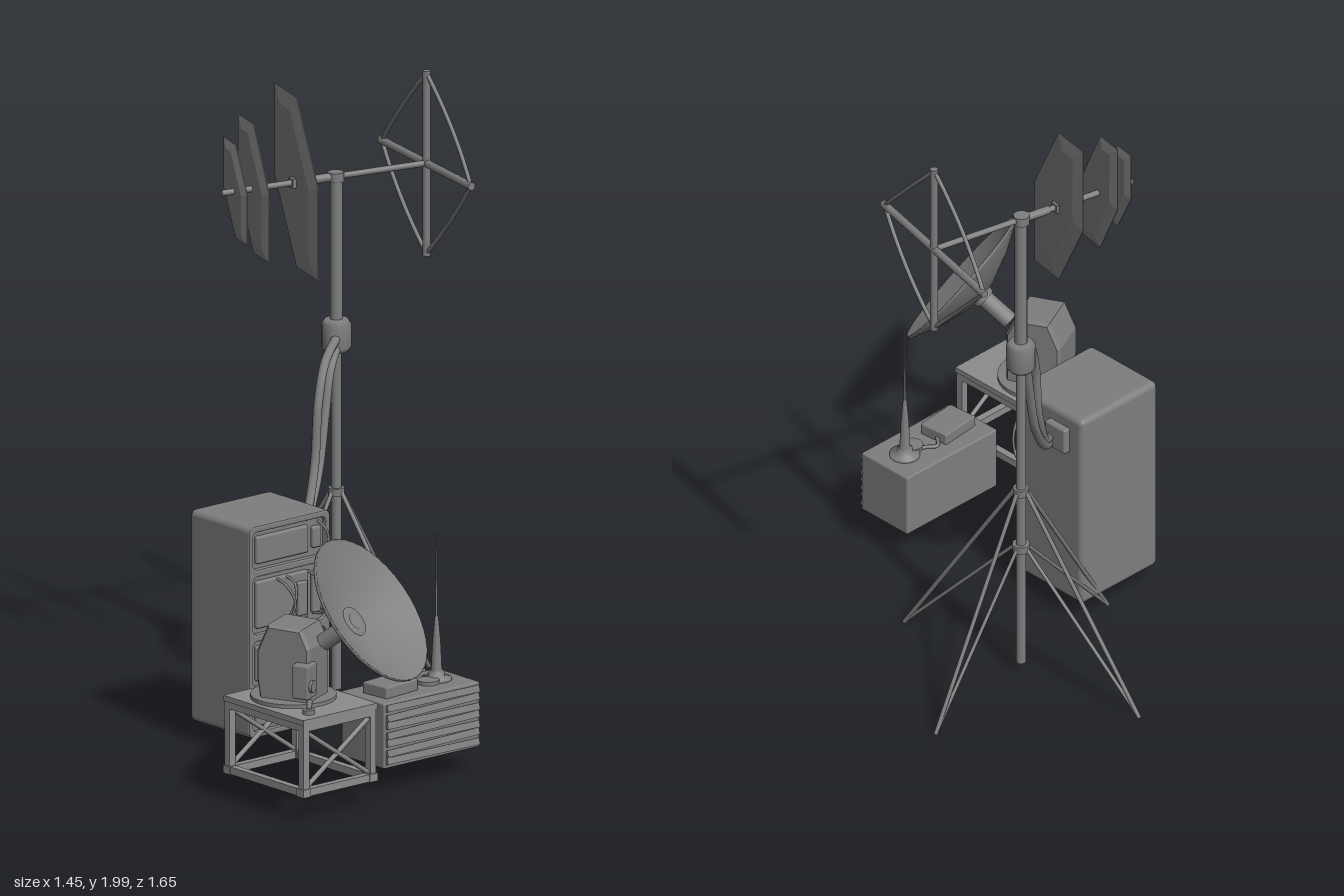
import * as THREE from 'three';
import { RoundedBoxGeometry } from 'three/addons/geometries/RoundedBoxGeometry.js';

const GREY = 0x7e7e7e;
const mat = new THREE.MeshStandardMaterial({ color: GREY });
const flat = new THREE.MeshStandardMaterial({ color: GREY, flatShading: true });
const thin = new THREE.MeshStandardMaterial({ color: GREY, side: THREE.DoubleSide });
const standMat = new THREE.MeshStandardMaterial({ color: 0x8c8c8c });
const V = (x, y, z) => new THREE.Vector3(x, y, z);
const UP = V(0, 1, 0);

function add(parent, name, geo, x = 0, y = 0, z = 0, m = mat) {
  const mesh = new THREE.Mesh(geo, m);
  mesh.name = name;
  mesh.position.set(x, y, z);
  parent.add(mesh);
  return mesh;
}
function group(parent, name, x = 0, y = 0, z = 0, ry = 0) {
  const g = new THREE.Group();
  g.name = name;
  g.position.set(x, y, z);
  g.rotation.y = ry;
  parent.add(g);
  return g;
}
// Straight rod from a to b
function rod(parent, name, a, b, r, r2 = r, sides = 10, m = mat) {
  const d = b.clone().sub(a), c = a.clone().add(b).multiplyScalar(0.5);
  const mesh = add(parent, name, new THREE.CylinderGeometry(r2, r, d.length(), sides), c.x, c.y, c.z, m);
  mesh.quaternion.setFromUnitVectors(UP, d.normalize());
}
// Box given by its limits on each axis
function box(parent, name, x0, x1, y0, y1, z0, z1, round = 0, m = mat) {
  const w = x1 - x0, h = y1 - y0, d = z1 - z0;
  const geo = round ? new RoundedBoxGeometry(w, h, d, 3, round) : new THREE.BoxGeometry(w, h, d);
  add(parent, name, geo, (x0 + x1) / 2, (y0 + y1) / 2, (z0 + z1) / 2, m);
}
function cable(parent, name, pts, r, n = 28) {
  const curve = new THREE.CatmullRomCurve3(pts.map(p => V(...p)));
  add(parent, name, new THREE.TubeGeometry(curve, n, r, 8), 0, 0, 0, thin);
}
function lathe(parent, name, profile, sides, x = 0, y = 0, z = 0) {
  const pts = profile.map(p => new THREE.Vector2(...p));
  add(parent, name, new THREE.LatheGeometry(pts, sides), x, y, z, thin);
}
// Rounded rectangle outline, as a shape or a hole
function roundRect(path, x0, x1, y0, y1, r) {
  path.absarc(x1 - r, y0 + r, r, -Math.PI / 2, 0);
  path.absarc(x1 - r, y1 - r, r, 0, Math.PI / 2);
  path.absarc(x0 + r, y1 - r, r, Math.PI / 2, Math.PI);
  path.absarc(x0 + r, y0 + r, r, Math.PI, Math.PI * 1.5);
  path.closePath();
  return path;
}

function buildMast(root) {
  const g = group(root, 'mast', 0.275, 0, -0.365);
  rod(g, 'lowerPole', V(0, 0.04, 0), V(0, 1.2, 0), 0.016, 0.016, 16);
  rod(g, 'upperPole', V(0, 1.2, 0), V(0, 1.71, 0), 0.02, 0.02, 16);
  // Junction drum with bevelled rims
  lathe(g, 'junctionDrum', [[0, 1.135], [0.036, 1.135], [0.047, 1.15], [0.047, 1.225], [0.036, 1.24], [0, 1.24]], 16);
  add(g, 'upperCollar', new THREE.CylinderGeometry(0.026, 0.026, 0.025, 12), 0, 0.68, 0);
  add(g, 'lowerCollar', new THREE.CylinderGeometry(0.028, 0.028, 0.025, 12), 0, 0.47, 0);
  // Four stays, each with a lower brace to the same foot
  for (const [x, z] of [[0.447, -0.075], [0.073, 0.445], [-0.447, 0.07], [-0.073, -0.452]]) {
    const dir = V(x, 0, z).normalize().multiplyScalar(0.022);
    rod(g, 'stay', V(dir.x, 0.68, dir.z), V(x, 0.01, z), 0.007, 0.007, 8);
    rod(g, 'stayBrace', V(dir.x, 0.47, dir.z), V(x, 0.012, z), 0.006, 0.006, 8);
  }
}

function buildAntenna(root) {
  const g = group(root, 'antennaBoom', 0.275, 1.7, -0.367, -0.222);
  rod(g, 'boom', V(-0.405, 0, 0), V(0.32, 0, 0), 0.01);
  rod(g, 'boomSleeve', V(-0.1, 0, 0), V(0.02, 0, 0), 0.014);
  add(g, 'mastCap', new THREE.CylinderGeometry(0.026, 0.026, 0.03, 14));
  // Skewed hexagonal plates with tapered edges, growing toward the mast
  const hex = [[-0.144, 0.285], [-0.144, -0.012], [0, -0.275], [0.144, -0.285], [0.144, 0.012], [0, 0.275]];
  for (const [x, sw, sh] of [[-0.138, 1, 1], [-0.29, 0.71, 0.76], [-0.354, 0.54, 0.55]]) {
    const shape = new THREE.Shape(hex.map(p => new THREE.Vector2(p[0] * sw, p[1] * sh)));
    const bevel = 0.05 * sw;
    const geo = new THREE.ExtrudeGeometry(shape, { depth: 0.003, bevelThickness: 0.008,
      bevelSize: bevel, bevelOffset: -bevel, bevelSegments: 1 });
    geo.translate(0, 0, -0.0015);
    geo.rotateY(-Math.PI / 2);
    add(g, 'hexPlate', geo, x, 0, 0, flat);
  }
  add(g, 'plateClamp', new THREE.BoxGeometry(0.04, 0.03, 0.03), -0.14);
  // Cross-shaped frame with bowed wires between its tips
  const f = group(g, 'crossFrame', 0.32);
  rod(f, 'uprightBar', V(0, -0.3, 0), V(0, 0.3, 0), 0.013);
  rod(f, 'crossBar', V(0, 0, -0.3), V(0, 0, 0.3), 0.013);
  for (const s of [-1, 1]) for (const t of [-1, 1]) {
    const wire = new THREE.QuadraticBezierCurve3(V(0, 0.293 * s, 0), V(0.025 * t, 0.144 * s, 0.144 * t), V(0, 0, 0.293 * t));
    add(f, 'frameWire', new THREE.TubeGeometry(wire, 12, 0.007, 8), 0, 0, 0, thin);
  }
}

function buildCabinet(root) {
  const g = group(root, 'cabinet');
  box(g, 'cabinetBody', -0.38, -0.046, 0.07, 0.757, -0.31, -0.038, 0.02);
  box(g, 'cableSocket', -0.055, -0.023, 0.62, 0.71, -0.255, -0.165, 0.008);
  // Front bezel with an opening for each module
  const rows = [[0.615, 0.735], [0.405, 0.59], [0.235, 0.38], [0.09, 0.21]];
  const bezel = roundRect(new THREE.Shape(), -0.38, -0.046, 0.07, 0.757, 0.022);
  bezel.holes = rows.map(([y0, y1]) => roundRect(new THREE.Path(), -0.362, -0.064, y0, y1, 0.018));
  const geo = new THREE.ExtrudeGeometry(bezel, { depth: 0.04, bevelThickness: 0.006, bevelSize: 0.006,
    bevelOffset: -0.006, bevelSegments: 2, curveSegments: 5 });
  add(g, 'bezel', geo, 0, 0, -0.068);
  for (const [y0, y1] of rows) {
    box(g, 'module', -0.345, -0.13, y0 + 0.015, y1 - 0.015, -0.045, -0.026, 0.008);
    box(g, 'modulePort', -0.115, -0.078, y0 + 0.025, y1 - 0.025, -0.045, -0.024, 0.008);
  }
  box(g, 'plugBlock', -0.185, -0.145, 0.435, 0.545, -0.03, -0.012, 0.006);
  // Patch leads looping out of the modules
  for (const [x0, y0, x1, y1, out] of [[-0.09, 0.725, -0.09, 0.62, 0.01], [-0.09, 0.62, -0.08, 0.44, 0.025],
    [-0.13, 0.57, -0.11, 0.43, 0.04], [-0.22, 0.57, -0.25, 0.43, 0.02], [-0.26, 0.57, -0.24, 0.44, 0.035],
    [-0.33, 0.27, -0.34, 0.18, 0.008]]) {
    const xm = (x0 + x1) / 2;
    cable(g, 'patchLead', [[x0, y0, -0.03], [x0, y0 - 0.015, out * 0.5], [xm + 0.01, (y0 + y1) / 2, out],
      [x1, y1 + 0.015, out * 0.5], [x1, y1, -0.03]], 0.0045, 18);
  }
  // Two thick cables up to the mast drum, running in one upright plane
  for (const pts of [[[-0.04, 0.65], [0.01, 0.67], [0.08, 0.82], [0.11, 1.02], [0.16, 1.13], [0.26, 1.19]],
    [[-0.04, 0.635], [0.01, 0.65], [0.11, 0.79], [0.165, 0.97], [0.2, 1.09], [0.26, 1.16]]]) {
    cable(g, 'mastCable', pts.map(([x, y]) => [x, y, -0.2 - 0.55 * x]), 0.015);
  }
}

function buildStand(root) {
  const g = group(root, 'dishStand');
  const X = [-0.71, -0.435], Z = [0.268, 0.62], b = 0.012;
  box(g, 'standTop', -0.725, -0.42, 0.322, 0.34, 0.253, 0.635, 0, standMat);
  for (const x of X) {
    for (const z of Z) {
      box(g, 'standLeg', x - b, x + b, 0.09, 0.325, z - b, z + b, 0, standMat);
      box(g, 'standFoot', x - 0.016, x + 0.016, 0.088, 0.114, z - 0.016, z + 0.016, 0, standMat);
    }
    for (const y of [0.101, 0.312]) box(g, 'sideRail', x - b, x + b, y - b, y + b, Z[0], Z[1], 0, standMat);
  }
  for (const z of Z) {
    for (const y of [0.101, 0.312]) box(g, 'endRail', X[0], X[1], y - b, y + b, z - b, z + b, 0, standMat);
    for (const s of [0, 1]) rod(g, 'crossBrace', V(X[s], 0.11, z), V(X[1 - s], 0.3, z), 0.008, 0.008, 6, standMat);
  }
  add(g, 'turntable', new THREE.CylinderGeometry(0.135, 0.135, 0.012, 32), -0.572, 0.346, 0.41);
  // Plug and lead lying on the stand top
  rod(g, 'lead', V(-0.6, 0.352, 0.52), V(-0.66, 0.35, 0.585), 0.009);
  add(g, 'plug', new THREE.CylinderGeometry(0.02, 0.02, 0.016, 14), -0.66, 0.346, 0.585);
}

function buildDish(root) {
  // Housing: side profile extruded across its width
  const h = group(root, 'dishHousing', -0.575, 0.35, 0.42, 0.43);
  const prof = [[-0.08, 0], [0.075, 0], [0.075, 0.17], [0.05, 0.225], [-0.055, 0.23], [-0.09, 0.15], [-0.09, 0.06]];
  const geo = new THREE.ExtrudeGeometry(new THREE.Shape(prof.map(p => new THREE.Vector2(...p))),
    { depth: 0.13, bevelSize: 0.008, bevelThickness: 0.012, bevelSegments: 1 });
  geo.translate(0, 0, -0.065);
  geo.rotateY(-Math.PI / 2);
  add(h, 'housingBody', geo, 0, 0, 0, flat);
  box(h, 'controlBox', -0.11, -0.04, 0.02, 0.13, 0.04, 0.095, 0.006);
  rod(h, 'controlKnob', V(-0.085, 0.06, 0.09), V(-0.085, 0.06, 0.105), 0.02, 0.02, 14);

  // Shallow dish tilted up and to the side
  const n = V(0.33, 0.604, 0.725).normalize();
  const g = group(root, 'dish');
  g.position.copy(V(-0.46, 0.652, 0.65).addScaledVector(n, -0.075));
  g.quaternion.setFromUnitVectors(UP, n);
  lathe(g, 'bowl', [[0, -0.01], [0.06, -0.008], [0.16, 0.024], [0.252, 0.068], [0.254, 0.077], [0.249, 0.078],
    [0.16, 0.036], [0.06, 0.004], [0, 0]], 40);
  lathe(g, 'hubRing', [[0.05, 0], [0.05, 0.007], [0.026, 0.007], [0.026, 0.004], [0, 0.004]], 24);
  add(g, 'backBoss', new THREE.CylinderGeometry(0.04, 0.035, 0.025, 16), 0, -0.015, 0);
  rod(g, 'dishArm', V(0, -0.13, 0), V(0, -0.01, 0), 0.028, 0.028, 14);
}

function buildRadio(root) {
  const g = group(root, 'radioUnit');
  box(g, 'radioBody', -0.315, 0.08, 0.085, 0.297, 0.34, 0.545, 0.006);
  // Front louvres
  for (let i = 0; i < 7; i++) {
    const slat = add(g, 'louvre', new THREE.BoxGeometry(0.378, 0.022, 0.014), -0.1175, 0.107 + i * 0.0285, 0.547);
    slat.rotation.set(-0.3, 0, i % 2 ? 0.012 : -0.012);
  }
  const top = add(g, 'topBox', new RoundedBoxGeometry(0.145, 0.04, 0.105, 2, 0.006), -0.205, 0.314, 0.448);
  top.rotation.y = 0.1;
  cable(g, 'topLead', [[-0.14, 0.31, 0.43], [-0.11, 0.303, 0.4], [-0.08, 0.303, 0.42], [-0.05, 0.3, 0.435]], 0.006);
  // Whip aerial on a stepped base
  lathe(g, 'aerialBase', [[0, 0.29], [0.048, 0.29], [0.048, 0.305], [0.026, 0.308], [0.024, 0.325], [0.017, 0.33],
    [0.013, 0.42], [0.006, 0.5], [0, 0.505]], 20, -0.008, 0, 0.44);
  add(g, 'baseLug', new THREE.CylinderGeometry(0.035, 0.035, 0.016, 16), -0.055, 0.301, 0.455);
  rod(g, 'aerial', V(-0.008, 0.5, 0.44), V(-0.008, 0.77, 0.44), 0.004, 0.002, 8);
}

export function createModel() {
  const root = new THREE.Group();
  root.name = 'fieldStation';
  for (const build of [buildMast, buildAntenna, buildCabinet, buildStand, buildDish, buildRadio]) build(root);
  return root;
}
